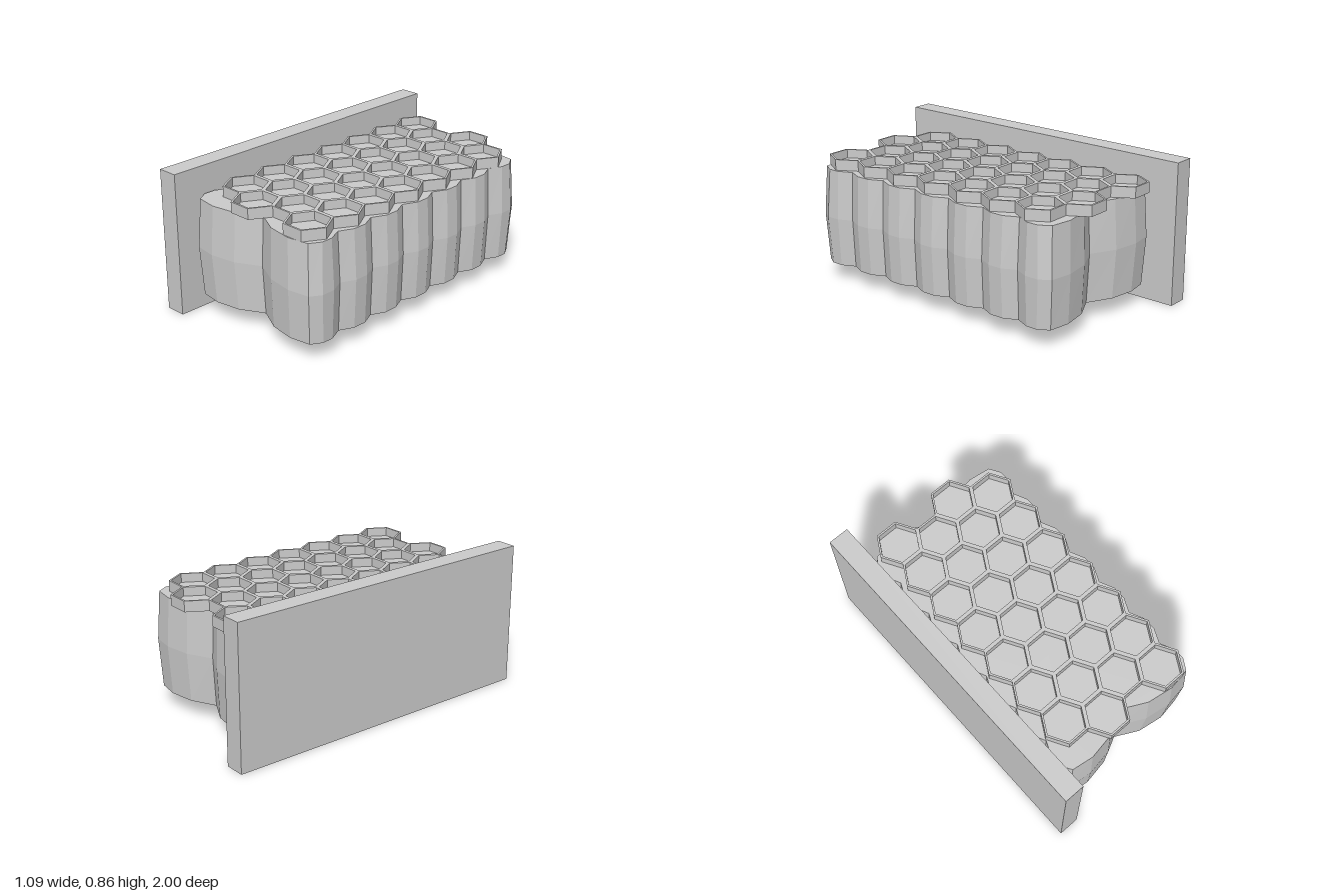
import * as THREE from 'three';

const material = new THREE.MeshStandardMaterial({ color: 0xcccccc, flatShading: true });

function part(name, geometry, parent) {
  const mesh = new THREE.Mesh(geometry, material);
  mesh.name = name;
  parent.add(mesh);
  return mesh;
}

// Scalloped outline around the block, seven scallops per side and two per end
function scallopOutline() {
  const half = [];
  const pitch = 0.251;
  for (let k = 0; k < 7; k++) {
    const z = (3.5 - k) * pitch;
    half.push([0.445, k === 0 ? 0.86 : z]);
    half.push([0.485, z - pitch / 3], [0.485, z - 2 * pitch / 3]);
  }
  half.push([0.445, -0.86], [0.31, -0.88], [0.15, -0.855], [0, -0.78], [-0.15, -0.855], [-0.31, -0.88]);
  return [...half, ...half.map(([x, z]) => [-x, -z])];
}

// Block with a bulging waist: the outline is drawn in at top and bottom
function blockGeometry() {
  const outline = scallopOutline();
  const n = outline.length;
  const levels = [[0.105, 1], [0.4, 0], [0.695, 1]];
  const positions = [];
  const index = [];
  for (const [y, inset] of levels) {
    for (const [x, z] of outline) {
      const endInset = Math.abs(z) > 0.77 ? 0.015 * Math.sign(z) : 0;
      positions.push(0.06 + x * (1 - 0.031 * inset), y, 0.025 + z - endInset * inset);
    }
  }
  for (let l = 0; l < 2; l++) {
    for (let i = 0; i < n; i++) {
      const a = l * n + i, b = l * n + (i + 1) % n;
      index.push(a, b, b + n, a, b + n, a + n);
    }
  }
  // Flat caps
  const contour = outline.map(([x, z]) => new THREE.Vector2(x, -z));
  for (const [a, b, c] of THREE.ShapeUtils.triangulateShape(contour, [])) {
    index.push(a + 2 * n, b + 2 * n, c + 2 * n, c, b, a);
  }
  const geometry = new THREE.BufferGeometry();
  geometry.setAttribute('position', new THREE.Float32BufferAttribute(positions, 3));
  geometry.setIndex(index);
  const flat = geometry.toNonIndexed();
  flat.computeVertexNormals();
  return flat;
}

// Shallow six-sided cup with a thin rim and a floor
function cellGeometry(radius) {
  const inner = radius - 0.013;
  const profile = [[0, 0], [radius, 0], [radius, 0.065], [inner, 0.065], [inner, 0.012], [0, 0.012]];
  const geometry = new THREE.LatheGeometry(profile.map(([r, y]) => new THREE.Vector2(r, y)), 6);
  return geometry.rotateY(Math.PI / 6);
}

export function createModel() {
  const model = new THREE.Group();
  model.name = 'honeycombBlock';

  // Upright board along the right side
  part('backBoard', new THREE.BoxGeometry(0.125, 0.86, 2), model).position.set(-0.4845, 0.43, 0);

  part('scallopedBlock', blockGeometry(), model);

  // Four staggered columns of seven cells
  const cells = new THREE.Group();
  cells.name = 'honeycombCells';
  model.add(cells);
  const radius = 0.1368;
  const pitch = radius * Math.sqrt(3);
  const cell = cellGeometry(radius);
  for (let column = 0; column < 4; column++) {
    for (let row = 0; row < 7; row++) {
      const x = -0.232 + column * radius * 1.5;
      const z = -0.777 + (row + (column % 2) / 2) * pitch;
      part('cell', cell, cells).position.set(x, 0.695, z);
    }
  }
  return model;
}
